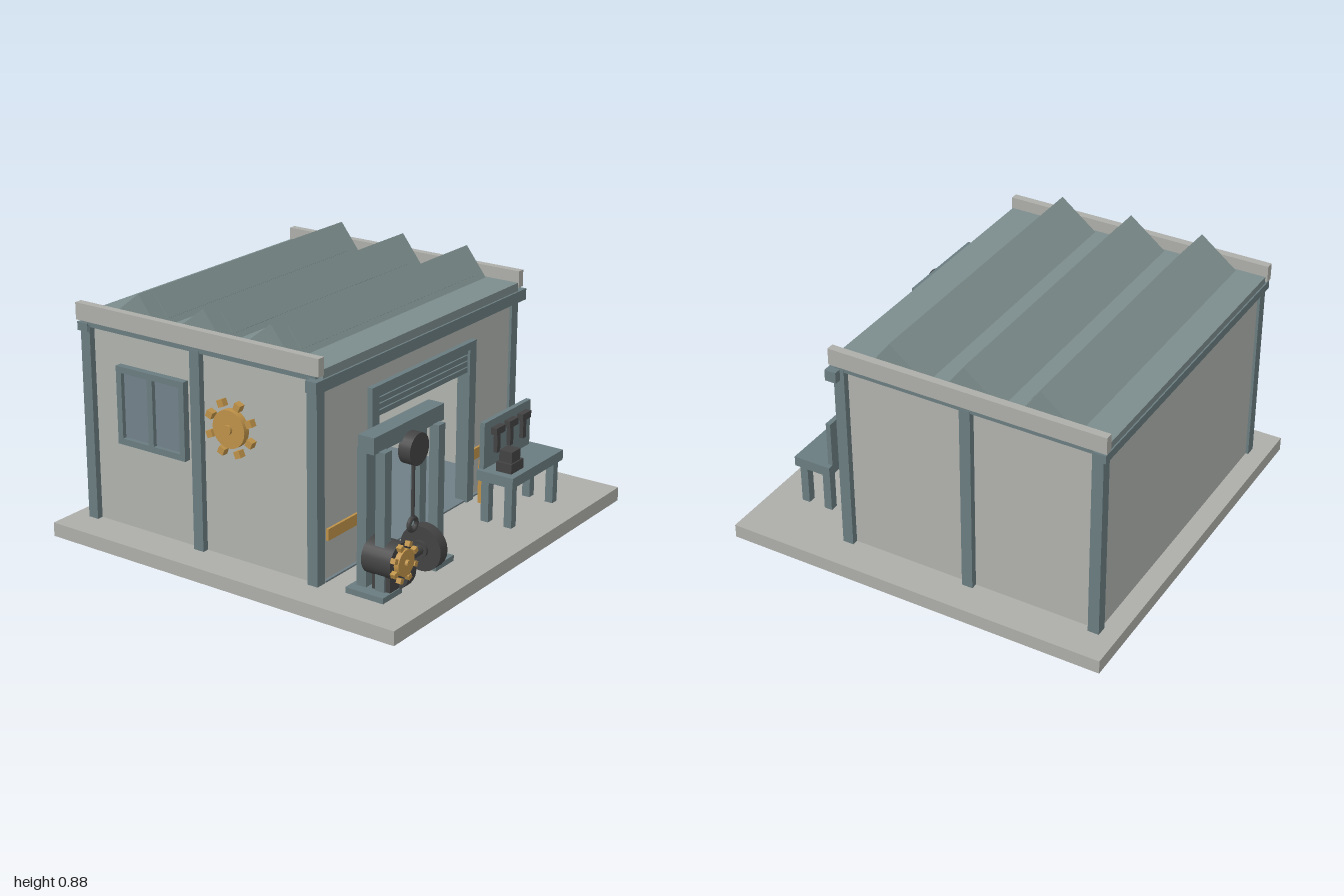
import * as THREE from 'three';

const mat = (name, color) => {
  const m = new THREE.MeshStandardMaterial({ color });
  m.name = name;
  return m;
};

export function createModel() {
  const model = new THREE.Group();
  model.name = 'workshop';
  // The workshop stands diagonally: its door faces between +x and +z
  const shop = new THREE.Group();
  shop.name = 'workshopBody';
  shop.rotation.y = Math.PI / 4;
  model.add(shop);

  const concrete = mat('concrete', 0xadaea9);
  const wall = mat('wallPlaster', 0xb0b2ad);
  const steel = mat('slateSteel', 0x6a7c80);
  const roofing = mat('roofSheet', 0x7c8c8c);
  const floorTone = mat('floorSlate', 0x6f7f85);
  const glass = mat('windowGlass', 0x71818a);
  const iron = mat('darkIron', 0x434343);
  const brass = mat('brass', 0xbd9148);

  const add = (name, geo, material, x, y, z, parent = shop) => {
    const m = new THREE.Mesh(geo, material);
    m.name = name;
    m.position.set(x, y, z);
    parent.add(m);
    return m;
  };
  // Box given by its minimum and maximum along each axis
  const box = (name, material, x0, x1, y0, y1, z0, z1, parent = shop) =>
    add(name, new THREE.BoxGeometry(x1 - x0, y1 - y0, z1 - z0), material,
      (x0 + x1) / 2, (y0 + y1) / 2, (z0 + z1) / 2, parent);
  // Cylinder lying along x or z
  const disc = (name, material, r, length, axis, x, y, z, sides = 24, parent = shop) => {
    const g = new THREE.CylinderGeometry(r, r, length, sides);
    if (axis === 'x') g.rotateZ(Math.PI / 2);
    else g.rotateX(Math.PI / 2);
    return add(name, g, material, x, y, z, parent);
  };
  // Toothed wheel facing +z, with separate block teeth
  const gear = (name, r, toothR, tooth, depth) => {
    const g = new THREE.Group();
    g.name = name;
    disc('gearDisc', brass, r, depth, 'z', 0, 0, 0, 24, g);
    disc('gearHub', brass, r * 0.25, depth + 0.02, 'z', 0, 0, 0, 12, g);
    for (let i = 0; i < 8; i++) {
      const a = (i + 0.5) * Math.PI / 4;
      const t = add('gearTooth', new THREE.BoxGeometry(tooth, tooth, depth), brass,
        Math.cos(a) * toothR, Math.sin(a) * toothR, 0, g);
      t.rotation.z = a;
    }
    shop.add(g);
    return g;
  };

  // Ground slab and inner floor
  const h = Math.SQRT1_2;
  box('groundSlab', concrete, -h, h, 0, 0.05, -h, h);
  box('innerFloor', floorTone, -0.55, 0.55, 0.05, 0.056, -0.61, 0.335);

  // Walls, with the doorway between the front panels
  box('backWall', wall, -0.57, 0.57, 0.05, 0.75, -0.635, -0.61);
  for (const s of [-1, 1]) {
    const x = s * 0.56;
    box('sideWall', wall, x - 0.012, x + 0.012, 0.05, 0.76, -0.63, 0.32);
    const f = s * 0.42;
    box('frontWall', wall, f - 0.14, f + 0.14, 0.05, 0.75, 0.3, 0.325);
    box('wallStripe', brass, f - 0.115, f + 0.115, 0.19, 0.23, 0.325, 0.334);
    // Posts and the beam along each side
    for (const z of [-0.625, -0.155, 0.315]) {
      const p = s * 0.575;
      box('wallPost', steel, p - 0.02, p + 0.02, 0.05, 0.75, z - 0.02, z + 0.02);
    }
    const b = s * 0.575;
    box('sideBeam', steel, b - 0.018, b + 0.018, 0.742, 0.765, -0.64, 0.33);
    const r = s * 0.588;
    box('parapet', concrete, r - 0.014, r + 0.014, 0.762, 0.822, -0.658, 0.348);
    // Door jambs and guard posts
    const d = s * 0.29;
    box('doorJamb', steel, d - 0.02, d + 0.02, 0.05, 0.64, 0.295, 0.345);
    const g = s * 0.309;
    box('guardPost', brass, g - 0.016, g + 0.016, 0.05, 0.21, 0.374, 0.406);
  }
  box('wallAboveDoor', wall, -0.28, 0.28, 0.62, 0.75, 0.3, 0.325);
  box('doorLintel', steel, -0.31, 0.31, 0.615, 0.642, 0.295, 0.345);
  for (let i = 0; i < 4; i++) {
    const y = 0.532 + i * 0.022;
    box('shutterSlat', steel, -0.27, 0.27, y, y + 0.018, 0.31, 0.335);
  }
  box('shutterBacking', steel, -0.27, 0.27, 0.532, 0.615, 0.305, 0.315);

  // Roof deck, eaves and three saw-tooth ridges
  box('roofDeck', roofing, -0.575, 0.575, 0.748, 0.78, -0.65, 0.345);
  box('frontFascia', steel, -0.62, 0.62, 0.71, 0.75, 0.31, 0.352);
  box('backFascia', steel, -0.6, 0.6, 0.725, 0.755, -0.655, -0.61);
  for (const z of [-0.41, -0.137, 0.136]) {
    const profile = new THREE.Shape([
      new THREE.Vector2(-0.14, 0.775), new THREE.Vector2(0.085, 0.775), new THREE.Vector2(0, 0.885),
    ]);
    const g = new THREE.ExtrudeGeometry(profile, { depth: 1.13, bevelEnabled: false });
    // Profile x becomes depth, extrusion runs across the roof
    g.rotateY(-Math.PI / 2);
    add('roofRidge', g, roofing, 0.565, 0, z);
    const light = add('roofLight', new THREE.BoxGeometry(1.0, 0.085, 0.003), roofing, 0, 0.831, z + 0.0425);
    light.rotation.x = -Math.atan2(0.085, 0.11);
  }

  // Window on the left-hand wall
  box('windowPane', glass, -0.582, -0.574, 0.365, 0.62, -0.48, -0.215);
  for (const z of [-0.482, -0.3475, -0.213]) {
    box('windowUpright', steel, -0.597, -0.57, 0.355, 0.63, z - 0.011, z + 0.011);
  }
  for (const y of [0.366, 0.62]) {
    box('windowRail', steel, -0.597, -0.57, y - 0.011, y + 0.011, -0.493, -0.202);
  }

  // Gear sign on the same wall
  const sign = gear('wallGear', 0.065, 0.087, 0.024, 0.024);
  sign.rotation.y = -Math.PI / 2;
  sign.position.set(-0.605, 0.52, 0);
  disc('gearBracket', brass, 0.018, 0.04, 'x', -0.59, 0.52, 0, 12);

  // Hoist frame
  const hx = -0.37;
  box('hoistBeam', steel, hx - 0.195, hx + 0.195, 0.537, 0.593, 0.47, 0.53);
  for (const s of [-1, 1]) {
    const x = hx + s * 0.15;
    box('hoistFoot', steel, x - 0.053, x + 0.053, 0.05, 0.07, 0.428, 0.573);
    for (const z of [0.465, 0.535]) {
      box('hoistLeg', steel, x - 0.018, x + 0.018, 0.07, 0.54, z - 0.018, z + 0.018);
    }
  }
  disc('hoistPulley', iron, 0.054, 0.045, 'z', hx, 0.505, 0.545);
  add('hoistRope', new THREE.CylinderGeometry(0.006, 0.006, 0.2, 8), iron, hx, 0.365, 0.545);
  add('hoistRing', new THREE.TorusGeometry(0.021, 0.008, 8, 20), iron, hx, 0.245, 0.545);

  // Wheel set and drum under the hoist
  disc('axle', iron, 0.018, 0.25, 'x', hx, 0.13, 0.53, 12);
  for (const s of [-1, 1]) {
    disc('axleWheel', iron, 0.078, 0.04, 'x', hx + s * 0.09, 0.13, 0.53);
    disc('wheelHub', iron, 0.03, 0.06, 'x', hx + s * 0.09, 0.13, 0.53, 12);
  }
  disc('motorDrum', iron, 0.062, 0.11, 'z', -0.5, 0.175, 0.535);
  box('drumStand', iron, -0.53, -0.47, 0.07, 0.14, 0.5, 0.57);
  gear('drumGear', 0.045, 0.06, 0.017, 0.018).position.set(-0.5, 0.175, 0.602);

  // Workbench with tool board and vise
  box('benchTop', steel, 0.15, 0.486, 0.203, 0.24, 0.457, 0.6);
  for (const x of [0.18, 0.456]) {
    for (const z of [0.482, 0.575]) {
      box('benchLeg', steel, x - 0.015, x + 0.015, 0.05, 0.203, z - 0.015, z + 0.015);
    }
  }
  box('toolBoard', steel, 0.165, 0.465, 0.24, 0.407, 0.457, 0.475);
  for (const x of [0.235, 0.32, 0.405]) {
    box('toolHead', iron, x - 0.028, x + 0.028, 0.355, 0.38, 0.475, 0.498);
    box('toolHandle', iron, x - 0.01, x + 0.01, 0.285, 0.355, 0.475, 0.49);
  }
  box('viseBase', iron, 0.18, 0.26, 0.24, 0.275, 0.515, 0.575);
  box('viseJaw', iron, 0.19, 0.245, 0.275, 0.315, 0.52, 0.57);

  return model;
}
